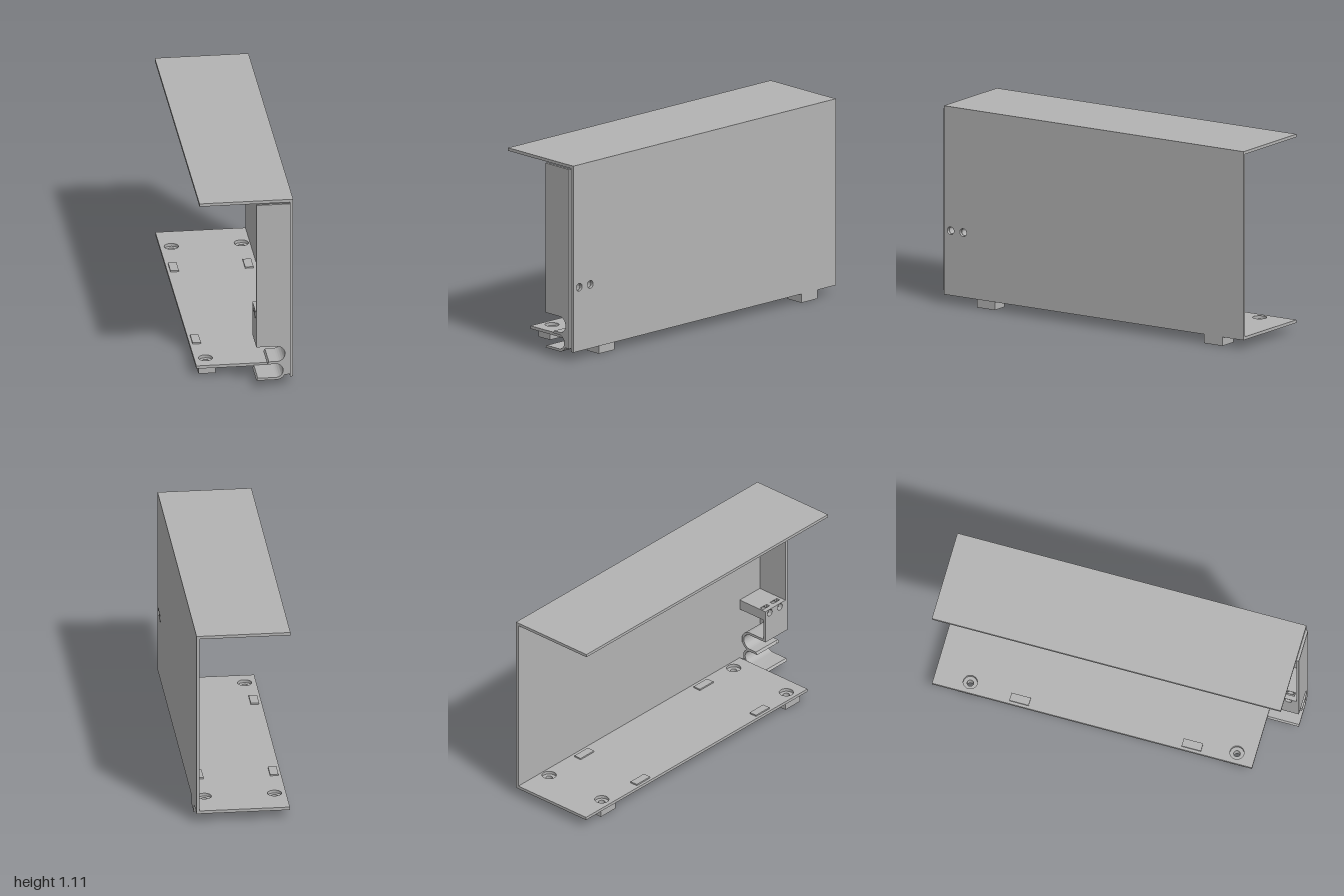
import * as THREE from 'three';
import { toCreasedNormals } from 'three/addons/utils/BufferGeometryUtils.js';

const grey = new THREE.MeshStandardMaterial({ color: 0xb3b3b3 });
grey.name = 'plain grey';

function polygon(points) {
  return new THREE.Shape(points.map(([x, y]) => new THREE.Vector2(x, y)));
}

function rect(x0, x1, y0, y1) {
  return polygon([[x0, y0], [x1, y0], [x1, y1], [x0, y1]]);
}

function addHole(shape, x, y, r) {
  const hole = new THREE.Path();
  hole.absarc(x, y, r, 0, Math.PI * 2, true);
  shape.holes.push(hole);
}

// Extrudes a shape along one axis between two positions.
// Shape coordinates: axis z -> (x, y), axis x -> (-z, y), axis y -> (x, -z).
function plate(name, shape, axis, from, to) {
  let geo = new THREE.ExtrudeGeometry(shape, { depth: to - from, bevelEnabled: false, curveSegments: 20 });
  geo.translate(0, 0, from);
  if (axis === 'x') geo.rotateY(Math.PI / 2);
  if (axis === 'y') geo.rotateX(-Math.PI / 2);
  geo = toCreasedNormals(geo, 0.6);
  const mesh = new THREE.Mesh(geo, grey);
  mesh.name = name;
  return mesh;
}

function box(name, x0, x1, y0, y1, z0, z1) {
  return plate(name, rect(x0, x1, y0, y1), 'z', z0, z1);
}

// C-shaped spring sheet, open towards -x
function clipProfile(cx, cy, r, t, topX, bottomX) {
  const s = new THREE.Shape();
  s.moveTo(bottomX, cy - r - t);
  s.lineTo(cx, cy - r - t);
  s.absarc(cx, cy, r + t, -Math.PI / 2, Math.PI / 2, false);
  s.lineTo(topX, cy + r + t);
  s.lineTo(topX, cy + r);
  s.lineTo(cx, cy + r);
  s.absarc(cx, cy, r, Math.PI / 2, -Math.PI / 2, true);
  s.lineTo(bottomX + 0.008, cy - r);
  return s;
}

export function createModel() {
  const model = new THREE.Group();
  model.name = 'enclosure half';

  // Side wall with a rear foot tab and two screw holes
  const wall = polygon([[-0.985, 0.05], [0.74, 0.05], [0.74, 0], [0.86, 0], [0.86, 0.05],
    [1, 0.05], [1, 1.11], [-0.985, 1.11]]);
  const screwZ = [0.94, 0.857];
  screwZ.forEach(z => addHole(wall, -z, 0.413, 0.022));
  model.add(plate('sideWall', wall, 'x', 0.24, 0.257));

  // Top cover
  model.add(box('topCover', -0.26, 0.24, 1.093, 1.11, -1, 0.985));

  // Base plate with four countersunk holes, feet below
  const base = rect(-0.257, 0.24, -0.82, 1);
  const feet = new THREE.Group();
  feet.name = 'feet';
  for (const z of [0.717, -0.8]) {
    for (const [x0, x1] of [[-0.24, -0.147], [0.145, 0.24]]) {
      const x = (x0 + x1) / 2;
      addHole(base, x, -z, 0.039);
      const foot = rect(x0, x1, -z - 0.059, -z + 0.059);
      addHole(foot, x, -z, 0.018);
      feet.add(plate('foot', foot, 'y', 0, 0.05));
    }
  }
  model.add(plate('basePlate', base, 'y', 0.05, 0.067), feet);

  // Small raised pads on the base plate
  for (const z of [0.47, -0.51]) {
    for (const x of [-0.218, 0.194]) {
      model.add(box('basePad', x - 0.023, x + 0.023, 0.067, 0.075, z - 0.055, z + 0.055));
    }
  }

  // Front panel, cut out for the two cable clips
  const panel = new THREE.Shape();
  panel.moveTo(0.052, 1.09);
  panel.lineTo(0.052, 0.24);
  panel.lineTo(0.165, 0.24);
  panel.absarc(0.165, 0.195, 0.045, Math.PI / 2, -Math.PI / 2, true);
  panel.lineTo(0.12, 0.15);
  panel.lineTo(0.113, 0.135);
  panel.lineTo(0.16, 0.135);
  panel.absarc(0.16, 0.095, 0.04, Math.PI / 2, -Math.PI / 2, true);
  panel.lineTo(0.06, 0.055);
  panel.lineTo(0.052, 0.041);
  panel.lineTo(0.16, 0.041);
  panel.absarc(0.16, 0.095, 0.054, -Math.PI / 2, -0.48, false);
  panel.lineTo(0.239, 0.07);
  panel.lineTo(0.239, 1.09);
  model.add(plate('frontPanel', panel, 'z', 0.985, 1));

  // Cable clips behind the panel
  const clips = new THREE.Group();
  clips.name = 'cableClips';
  clips.add(plate('upperClip', clipProfile(0.165, 0.195, 0.045, 0.015, 0.067, 0.113), 'z', 0.82, 0.985));
  clips.add(plate('lowerClip', clipProfile(0.16, 0.095, 0.04, 0.014, 0.16, 0.052), 'z', 0.82, 0.985));
  model.add(clips);

  // Mounting block: drilled flange, nut slots open at the top, drilled body
  const mount = new THREE.Group();
  mount.name = 'mountingBlock';
  const drilled = bottom => {
    const s = rect(-0.985, -0.82, bottom, 0.436);
    screwZ.forEach(z => addHole(s, -z, 0.413, 0.02));
    return s;
  };
  const slotted = polygon([[-0.985, 0.377], [-0.82, 0.377], [-0.82, 0.436],
    [-0.83, 0.436], [-0.83, 0.388], [-0.884, 0.388], [-0.884, 0.436],
    [-0.913, 0.436], [-0.913, 0.388], [-0.967, 0.388], [-0.967, 0.436], [-0.985, 0.436]]);
  mount.add(plate('mountFlange', drilled(0.24), 'x', 0.052, 0.067));
  mount.add(plate('mountFrontLayer', drilled(0.377), 'x', 0.067, 0.078));
  mount.add(plate('nutSlots', slotted, 'x', 0.078, 0.1));
  mount.add(plate('mountBody', drilled(0.377), 'x', 0.1, 0.24));
  model.add(mount);

  return model;
}
